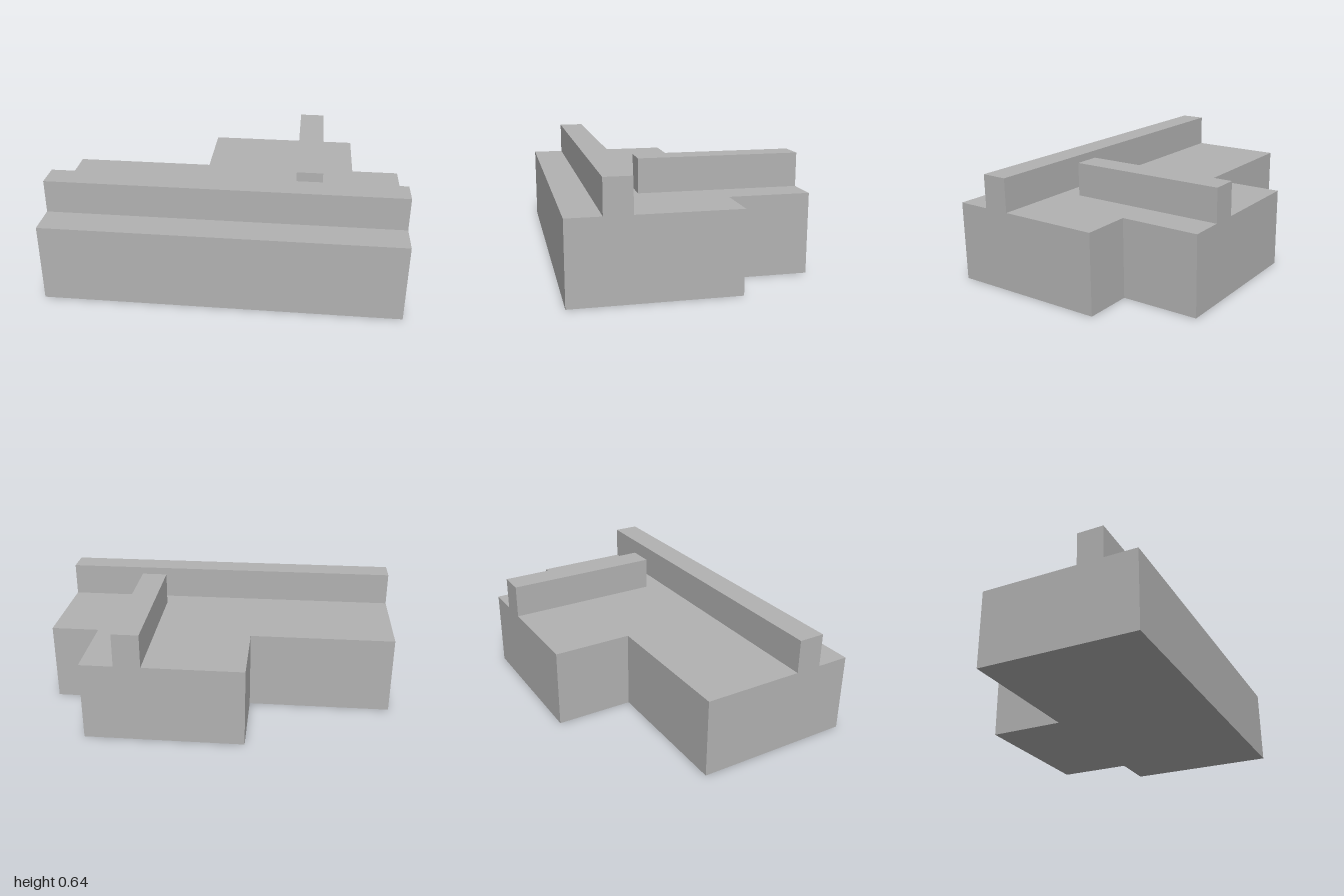
import * as THREE from 'three';

const BASE_TOP = 0.45;
const RAIL_TOP = 0.64;

export function createModel() {
  const model = new THREE.Group();
  model.name = 'steppedBlock';
  const grey = new THREE.MeshStandardMaterial({ color: 0xb2b2b2 });
  grey.name = 'grey';

  // T-shaped base, outlined as [x, z] and extruded upwards
  const outline = [
    [-1, 0.675], [1, 0.675], [1, -0.225], [0.725, -0.225],
    [0.725, -0.675], [-0.175, -0.675], [-0.175, -0.225], [-1, -0.225],
  ];
  const shape = new THREE.Shape(outline.map(([x, z]) => new THREE.Vector2(x, -z)));
  const baseGeometry = new THREE.ExtrudeGeometry(shape, { depth: BASE_TOP, bevelEnabled: false });
  baseGeometry.rotateX(-Math.PI / 2);
  const base = new THREE.Mesh(baseGeometry, grey);
  base.name = 'base';
  model.add(base);

  // Rails standing on the base
  const addRail = (name, x0, x1, z0, z1) => {
    const height = RAIL_TOP - BASE_TOP;
    const rail = new THREE.Mesh(new THREE.BoxGeometry(x1 - x0, height, z1 - z0), grey);
    rail.position.set((x0 + x1) / 2, BASE_TOP + height / 2, (z0 + z1) / 2);
    rail.name = name;
    model.add(rail);
  };
  addRail('longRail', -1, 1, 0.338, 0.487);
  addRail('crossRail', 0.386, 0.535, -0.675, 0.225);

  return model;
}
